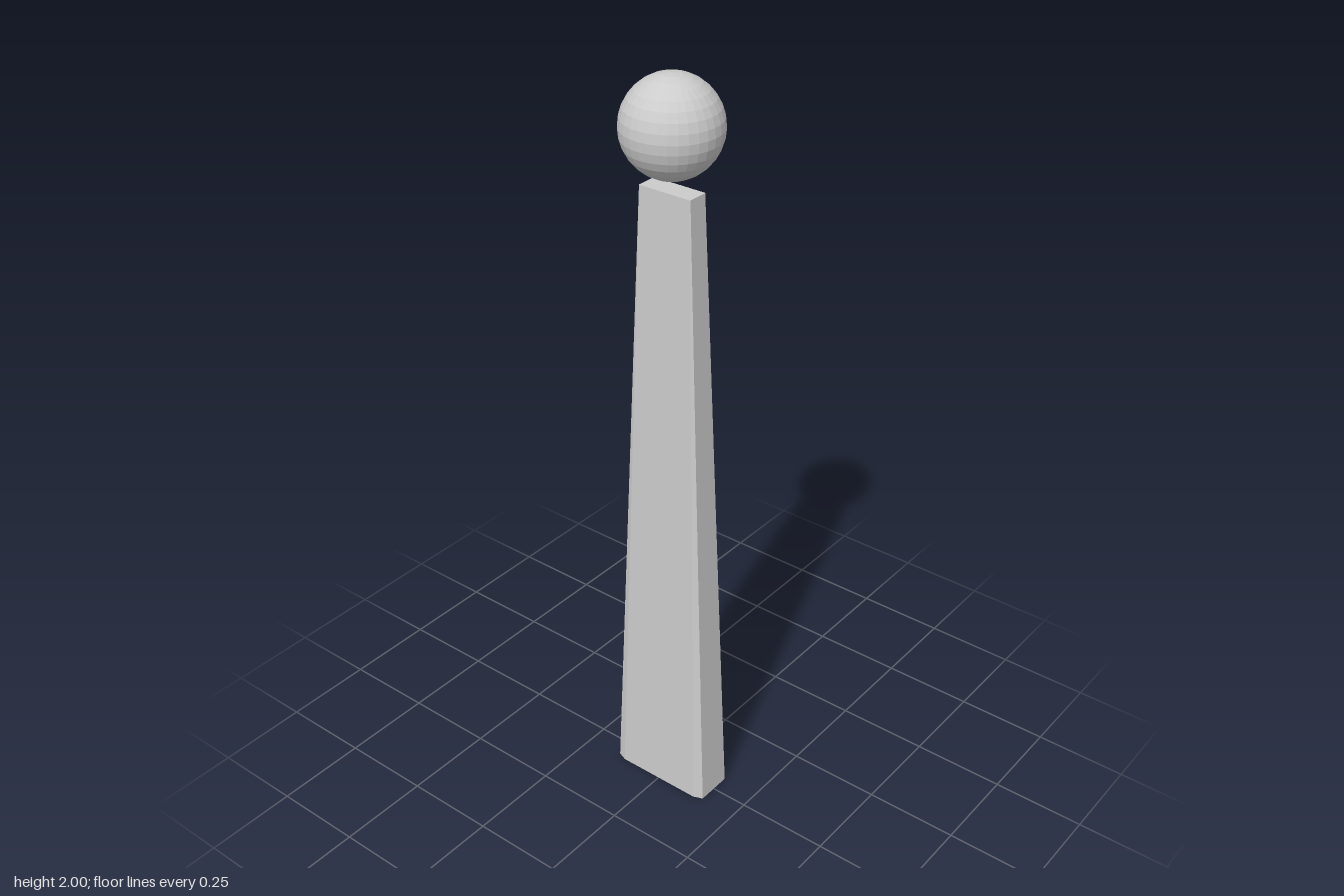
import * as THREE from 'three';

// Chamfered rectangle: half sizes x, z; corners cut by cx, cz; listed counter-clockwise from above
function ring(x, z, cx, cz, y) {
  return [
    [x, z - cz], [x, cz - z], [x - cx, -z], [cx - x, -z],
    [-x, cz - z], [-x, z - cz], [cx - x, z], [x - cx, z],
  ].map(([px, pz]) => new THREE.Vector3(px, y, pz));
}

// Solid between two rings, with flat caps
function loft(bottom, top) {
  const points = [];
  const n = bottom.length;
  for (let i = 0; i < n; i++) {
    const j = (i + 1) % n;
    points.push(bottom[i], bottom[j], top[j], bottom[i], top[j], top[i]);
    if (i > 0 && i < n - 1) {
      points.push(top[0], top[i], top[i + 1]);
      points.push(bottom[0], bottom[i + 1], bottom[i]);
    }
  }
  const geometry = new THREE.BufferGeometry().setFromPoints(points);
  geometry.computeVertexNormals();
  return geometry;
}

export function createModel() {
  const group = new THREE.Group();
  const material = new THREE.MeshStandardMaterial({ color: 0xcccccc, flatShading: true });

  // Tapering post whose corner chamfers fade out towards the top
  const post = new THREE.Mesh(
    loft(ring(0.06, 0.147, 0.01, 0.025, 0), ring(0.028, 0.074, 0.001, 0.002, 1.73)),
    material
  );
  post.name = 'taperedPost';
  group.add(post);

  // Ball floating just above the post
  const ball = new THREE.Mesh(new THREE.SphereGeometry(0.122, 32, 16), material);
  ball.name = 'ball';
  ball.position.y = 1.878;
  group.add(ball);

  return group;
}
